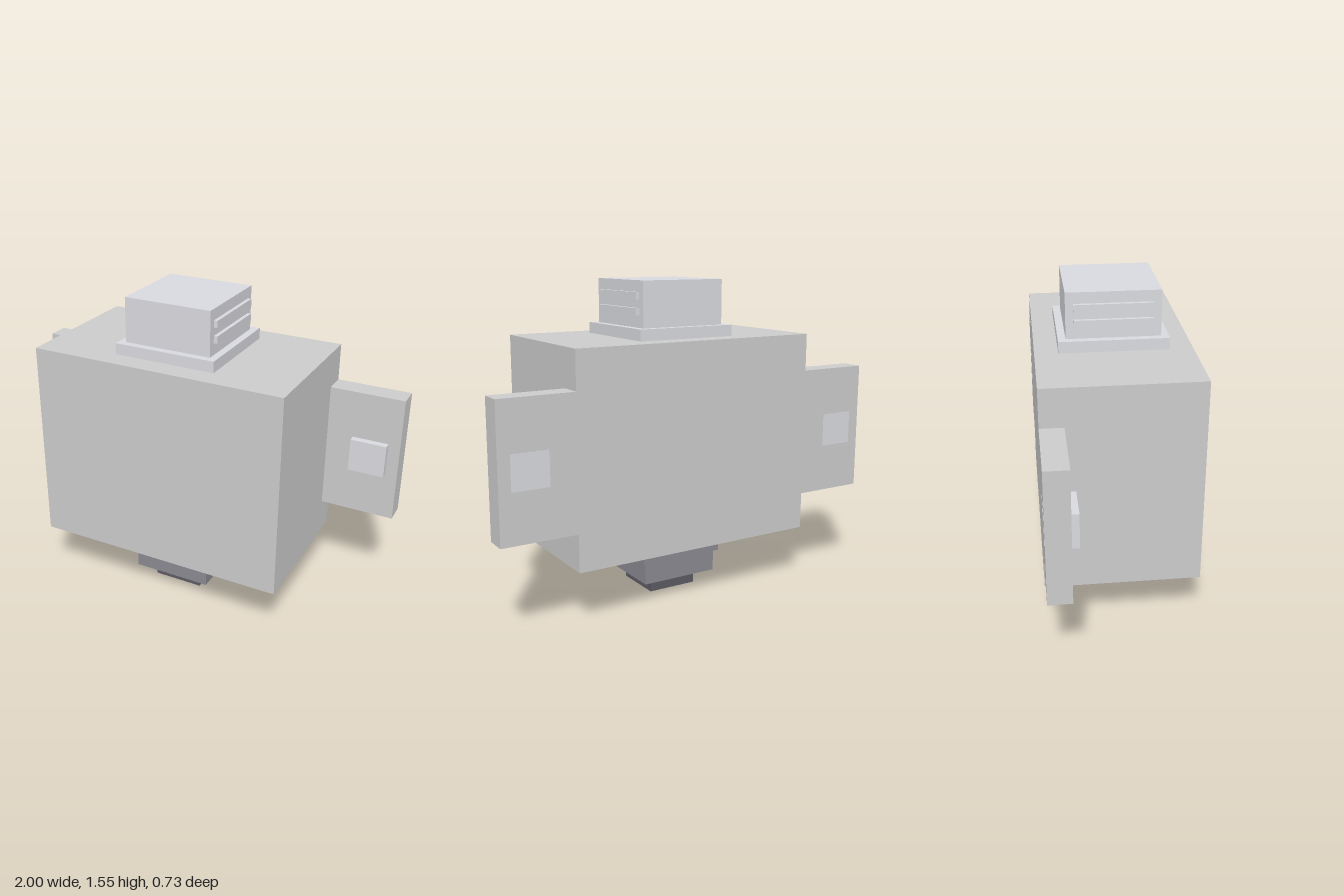
import * as THREE from 'three';

const material = (color) => new THREE.MeshStandardMaterial({ color, flatShading: true });

export function createModel() {
  const group = new THREE.Group();
  const grey = material(0xcccccc);
  const light = material(0xd9dadf);
  const dark = material(0x8a8991);
  const black = material(0x5c5b63);

  // Box given by its lower and upper bounds on each axis
  const box = (name, mat, [x0, x1], [y0, y1], [z0, z1]) => {
    const mesh = new THREE.Mesh(new THREE.BoxGeometry(x1 - x0, y1 - y0, z1 - z0), mat);
    mesh.position.set((x0 + x1) / 2, (y0 + y1) / 2, (z0 + z1) / 2);
    mesh.name = name;
    group.add(mesh);
  };
  // Square block centred on the vertical axis
  const block = (name, mat, half, y0, y1) =>
    box(name, mat, [-half, half], [y0, y1], [-half, half]);

  box('body', grey, [-0.635, 0.635], [0.276, 1.276], [-0.363, 0.363]);

  // Stepped connector on top
  block('topCollar', light, 0.254, 1.276, 1.33);
  block('topConnector', light, 0.218, 1.33, 1.547);

  // Stepped nozzle below
  block('nozzleCollar', dark, 0.218, 0.185, 0.276);
  block('nozzle', dark, 0.2, 0.077, 0.185);
  block('nozzleTip', black, 0.127, 0, 0.077);

  // Mounting flanges with bolts, and grip ribs, mirrored left and right
  for (const side of [1, -1]) {
    const prefix = side > 0 ? 'left' : 'right';
    const span = (a, b) => (side > 0 ? [a, b] : [-b, -a]);
    box(prefix + 'Flange', grey, span(0.635, 1), [0.457, 1.093], [-0.363, -0.254]);
    // Bolt runs through the flange and shows on its back
    box(prefix + 'Bolt', light, span(0.765, 0.943), [0.693, 0.857], [-0.364, -0.218]);
    [1.404, 1.477].forEach((y, i) =>
      box(prefix + 'Rib' + (i + 1), light, span(0.21, 0.236), [y - 0.017, y + 0.017], [-0.182, 0.182]));
  }
  return group;
}
